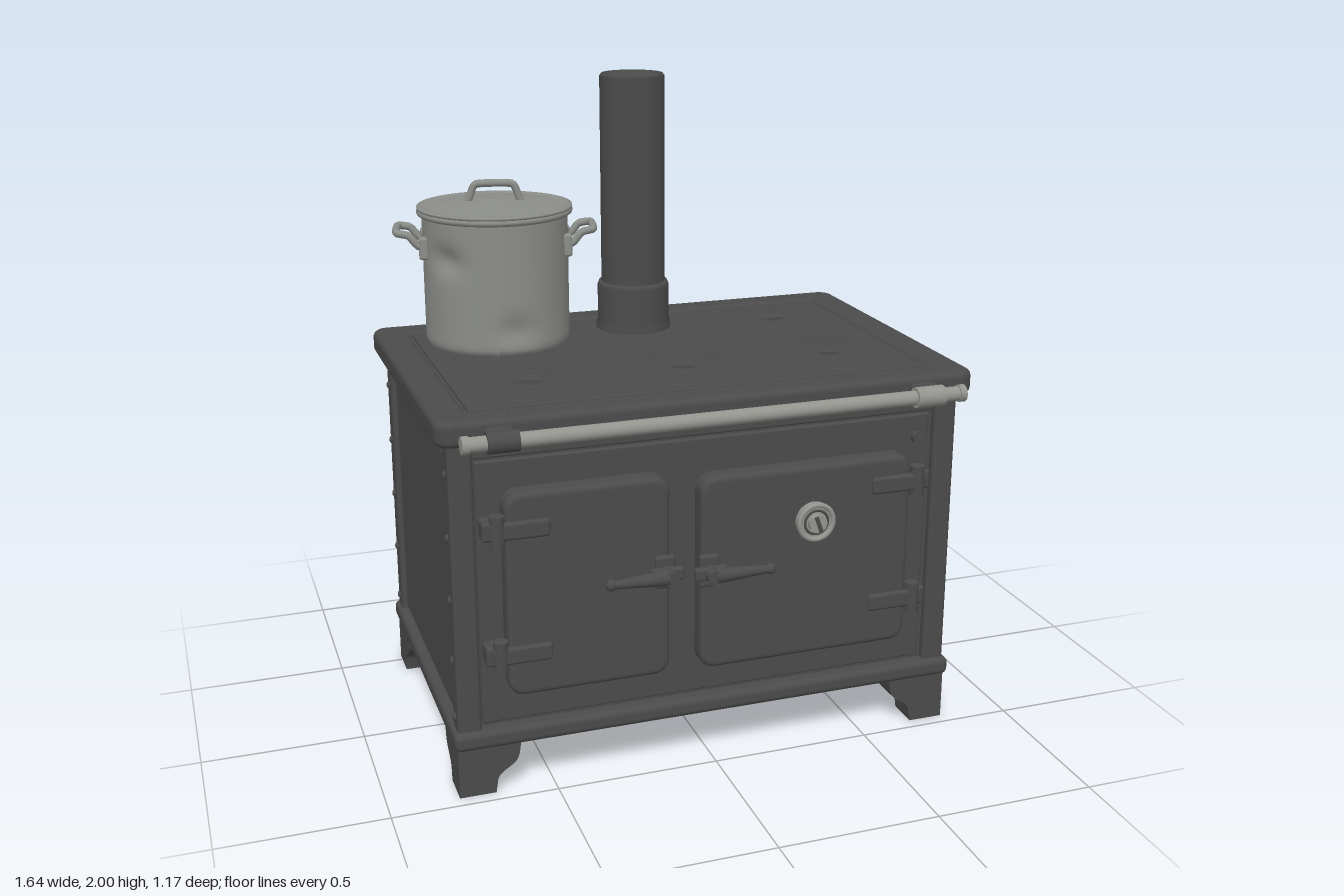
import * as THREE from 'three';
import { RoundedBoxGeometry } from 'three/addons/geometries/RoundedBoxGeometry.js';

const material = (name, color) => {
  const m = new THREE.MeshStandardMaterial({ color });
  m.name = name;
  return m;
};
const iron = material('cast iron', 0x4b4b4b);
const steel = material('pot steel', 0x8b8d89);
const rail = material('polished rail', 0x94948f);

const V = (x, y, z) => new THREE.Vector3(x, y, z);

function add(parent, name, geometry, mat, x = 0, y = 0, z = 0) {
  const m = new THREE.Mesh(geometry, mat);
  m.name = name;
  m.position.set(x, y, z);
  parent.add(m);
  return m;
}

// Box given by its limits, with rounded edges when r > 0
function box(parent, name, x0, x1, y0, y1, z0, z1, r = 0, mat = iron) {
  const s = [x1 - x0, y1 - y0, z1 - z0];
  const g = r ? new RoundedBoxGeometry(...s, 3, r) : new THREE.BoxGeometry(...s);
  return add(parent, name, g, mat, (x0 + x1) / 2, (y0 + y1) / 2, (z0 + z1) / 2);
}

function cylinder(parent, name, r, h, x, y, z, axis = 'y', mat = iron) {
  const m = add(parent, name, new THREE.CylinderGeometry(r, r, h, 32), mat, x, y, z);
  if (axis === 'x') m.rotation.z = Math.PI / 2;
  if (axis === 'z') m.rotation.x = Math.PI / 2;
  return m;
}

const lathe = (pts) => new THREE.LatheGeometry(pts.map((p) => new THREE.Vector2(...p)), 64);

function tube(parent, name, pts, r, mat) {
  const curve = new THREE.CatmullRomCurve3(pts, false, 'catmullrom', 0.25);
  return add(parent, name, new THREE.TubeGeometry(curve, 32, r, 10), mat);
}

function roundedRect(target, x0, x1, y0, y1, r) {
  const q = Math.PI / 2;
  target.absarc(x1 - r, y1 - r, r, 0, q);
  target.absarc(x0 + r, y1 - r, r, q, 2 * q);
  target.absarc(x0 + r, y0 + r, r, 2 * q, 3 * q);
  target.absarc(x1 - r, y0 + r, r, 3 * q, 4 * q);
  target.closePath();
  return target;
}

function addBody(g) {
  box(g, 'ovenBody', -0.765, 0.765, 0.17, 1.165, -0.505, 0.435);
  box(g, 'basePlinth', -0.8, 0.8, 0.155, 0.213, -0.545, 0.48, 0.02);
  // Slightly raised panels between the corner posts
  box(g, 'frontPanel', -0.71, 0.7, 0.225, 1.035, 0.42, 0.447, 0.006);
  box(g, 'frontTopStrip', -0.72, 0.71, 1.045, 1.11, 0.42, 0.452, 0.006);
  box(g, 'backPanel', -0.7, 0.7, 0.225, 1.035, -0.515, -0.49, 0.006);
  box(g, 'backTopStrip', -0.72, 0.72, 1.045, 1.11, -0.522, -0.49, 0.006);
  for (const s of [-1, 1]) {
    const panel = box(g, 'sidePanel', 0.75, 0.773, 0.225, 1.035, -0.44, 0.375, 0.006);
    panel.position.x *= s;
    const strip = box(g, 'sideTopStrip', 0.75, 0.78, 1.045, 1.11, -0.46, 0.39, 0.006);
    strip.position.x *= s;
    // Corner posts with rivets on both outer faces
    for (const front of [true, false]) {
      const z0 = front ? 0.385 : -0.53, z1 = z0 + 0.075;
      const post = box(g, 'cornerPost', 0.715, 0.787, 0.2, 1.11, z0, z1, 0.012);
      post.position.x *= s;
      for (const y of [0.25, 0.43, 0.62, 0.81, 1.0]) {
        const side = add(g, 'rivet', new THREE.SphereGeometry(0.013, 12, 8), iron, s * 0.787, y, z0 + 0.037);
        side.scale.x = 0.7;
        if (front) continue;
        const back = add(g, 'rivet', new THREE.SphereGeometry(0.013, 12, 8), iron, s * 0.752, y, z0);
        back.scale.z = 0.7;
      }
    }
  }
  cylinder(g, 'frontButton', 0.018, 0.03, 0.66, 0.965, 0.45, 'z');
}

// One corner foot: two curved brackets meeting at right angles
function addFoot(g, sx, sz) {
  const s = new THREE.Shape();
  s.moveTo(0, 0);
  s.lineTo(0.11, 0);
  s.lineTo(0.115, 0.035);
  s.bezierCurveTo(0.12, 0.08, 0.18, 0.07, 0.185, 0.125);
  s.lineTo(0.19, 0.16);
  s.lineTo(0, 0.16);
  const geo = new THREE.ExtrudeGeometry(s, { depth: 0.1, bevelEnabled: false, curveSegments: 12 });
  const foot = new THREE.Group();
  foot.name = 'foot';
  add(foot, 'footBracket', geo, iron);
  const b = add(foot, 'footBracket', geo, iron, 0.1, 0, 0);
  b.rotation.y = -Math.PI / 2;
  // Turned rather than mirrored, since the foot is symmetric about its diagonal
  foot.rotation.y = sx < 0 ? (sz < 0 ? 0 : Math.PI / 2) : (sz < 0 ? -Math.PI / 2 : Math.PI);
  foot.position.set(sx * 0.79, 0, sz < 0 ? -0.53 : 0.46);
  g.add(foot);
}

function addTop(g) {
  // Bevelled frame around the inset hob plate
  const frame = roundedRect(new THREE.Shape(), -0.803, 0.8, -0.49, 0.565, 0.03);
  frame.holes.push(roundedRect(new THREE.Path(), -0.735, 0.73, -0.42, 0.5, 0.025));
  const geo = new THREE.ExtrudeGeometry(frame, {
    depth: 0.035, bevelThickness: 0.02, bevelSize: 0.02, bevelSegments: 4, curveSegments: 8,
  });
  geo.rotateX(-Math.PI / 2);
  add(g, 'topFrame', geo, iron, 0, 1.12, 0);
  box(g, 'underTop', -0.78, 0.78, 1.1, 1.165, -0.55, 0.47);
  box(g, 'hobPlate', -0.71, 0.705, 1.14, 1.173, -0.475, 0.395, 0.005);
  // Cooking plates: stepped rings and a slotted lifting cap
  for (const [x, z] of [[-0.48, 0.185], [0, 0.185], [0.475, 0.185], [0.475, -0.265], [-0.47, -0.25]]) {
    const p = lathe([[0.19, 1.17], [0.187, 1.176], [0.14, 1.177], [0.136, 1.173], [0.132, 1.179],
      [0.085, 1.18], [0.081, 1.175], [0.077, 1.181], [0.037, 1.181], [0.034, 1.172], [0, 1.171]]);
    add(g, 'cookingPlate', p, iron, x, 0, z);
    const lift = box(g, 'plateLiftBar', x - 0.034, x + 0.034, 1.17, 1.18, z - 0.008, z + 0.008);
    lift.rotation.y = z < 0 ? 0.1 : -0.3;
  }
  for (const x of [-0.62, 0.62])
    for (const z of [-0.535, 0.465])
      add(g, 'topRivet', new THREE.SphereGeometry(0.011, 12, 8), iron, x, 1.171, z);
}

function addChimney(g) {
  add(g, 'chimneyCollar', lathe([[0.122, 1.165], [0.122, 1.19], [0.117, 1.2], [0.117, 1.315], [0.112, 1.328],
    [0.1, 1.33]]), iron, 0.01, 0, -0.345);
  add(g, 'chimneyPipe', lathe([[0.104, 1.17], [0.104, 1.992], [0.098, 2], [0.09, 1.998], [0.088, 1.985],
    [0, 1.985]]), iron, 0.01, 0, -0.345);
}

function addDoor(g, x0, x1, y0, y1, hingeSide) {
  const shape = roundedRect(new THREE.Shape(), x0 + 0.018, x1 - 0.018, y0 + 0.018, y1 - 0.018, 0.03);
  const geo = new THREE.ExtrudeGeometry(shape, {
    depth: 0.04, bevelThickness: 0.018, bevelSize: 0.018, bevelSegments: 4, curveSegments: 8,
  });
  add(g, 'ovenDoor', geo, iron, 0, 0, 0.447);
  // Strap hinges
  const hx = hingeSide < 0 ? x0 : x1;
  for (const y of [0.46, 0.843]) {
    const a = hx + hingeSide * 0.045, b = hx - hingeSide * 0.13;
    box(g, 'hingeStrap', Math.min(a, b), Math.max(a, b), y - 0.027, y + 0.027, 0.49, 0.516, 0.01);
    box(g, 'hingeMount', hx + hingeSide * 0.035 - 0.03, hx + hingeSide * 0.035 + 0.03, y - 0.03, y + 0.03, 0.44, 0.505, 0.01);
    cylinder(g, 'hingePin', 0.022, 0.095, hx + hingeSide * 0.022, y, 0.5);
  }
}

// Lever latch pointing along dir from its pivot
function addLatch(g, x, y, dir) {
  const latch = new THREE.Group();
  latch.name = 'doorLatch';
  box(latch, 'latchPlate', -0.03, 0.03, -0.05, 0.05, 0.5, 0.522, 0.008);
  cylinder(latch, 'latchPivot', 0.022, 0.07, 0, 0, 0.54, 'z');
  box(latch, 'latchHook', -0.05, 0.05, -0.02, 0.02, 0.52, 0.545, 0.008);
  const lever = add(latch, 'latchLever', new THREE.CylinderGeometry(0.012, 0.024, 0.17, 16), iron, dir * 0.09, 0, 0.557);
  lever.rotation.z = -dir * Math.PI / 2;
  add(latch, 'leverTip', new THREE.SphereGeometry(0.017, 16, 10), iron, dir * 0.178, 0, 0.557);
  latch.position.set(x, y, 0);
  g.add(latch);
}

function addFront(g) {
  addDoor(g, -0.64, -0.15, 0.325, 0.95, -1);
  addDoor(g, -0.055, 0.62, 0.32, 0.93, 1);
  addLatch(g, -0.17, 0.66, -1);
  addLatch(g, -0.035, 0.645, 1);
  // Temperature dial
  cylinder(g, 'dialFace', 0.058, 0.025, 0.3, 0.76, 0.515, 'z', rail);
  add(g, 'dialRing', new THREE.TorusGeometry(0.054, 0.008, 10, 40), rail, 0.3, 0.76, 0.528);
  add(g, 'dialGroove', new THREE.TorusGeometry(0.037, 0.004, 8, 40), iron, 0.3, 0.76, 0.528);
  cylinder(g, 'dialHub', 0.028, 0.02, 0.3, 0.76, 0.535, 'z', rail);
  box(g, 'dialNeedle', 0.294, 0.306, 0.735, 0.785, 0.54, 0.549, 0, iron).rotation.z = 0.35;
  // Towel rail on two brackets
  cylinder(g, 'towelRail', 0.022, 1.5, -0.005, 1.125, 0.552, 'x', rail);
  for (const x of [-0.755, 0.745]) cylinder(g, 'railEnd', 0.026, 0.02, x, 1.125, 0.552, 'x', rail);
  for (const [x, m] of [[-0.65, iron], [0.64, rail]]) {
    box(g, 'railArm', x - 0.042, x + 0.042, 1.105, 1.155, 0.48, 0.55, 0.012);
    cylinder(g, 'railSleeve', 0.031, 0.09, x, 1.125, 0.552, 'x', m);
  }
}

function addPot(g) {
  const pot = new THREE.Group();
  pot.name = 'cookingPot';
  const wall = [];
  for (let i = 0; i <= 24; i++) wall.push([0.226, 1.212 + i * 0.0163]);
  const body = lathe([[0, 1.188], [0.205, 1.188], [0.22, 1.196], ...wall]);
  // Worn dents pressed into the wall: angle, height, depth
  const p = body.attributes.position;
  for (let i = 0; i < p.count; i++) {
    const x = p.getX(i), y = p.getY(i), z = p.getZ(i);
    if (Math.hypot(x, z) < 0.2) continue;
    let k = 1;
    for (const [a, h, d] of [[0.25, 1.27, 0.06], [-0.75, 1.48, 0.1]])
      k -= d * Math.exp(-(((Math.atan2(x, z) - a) / 0.25) ** 2) - ((y - h) / 0.04) ** 2);
    p.setXYZ(i, x * k, y, z * k);
  }
  body.computeVertexNormals();
  add(pot, 'potBody', body, steel);
  add(pot, 'potRim', new THREE.TorusGeometry(0.231, 0.011, 10, 64), steel, 0, 1.608, 0).rotation.x = Math.PI / 2;
  add(pot, 'potLid', lathe([[0.225, 1.61], [0.24, 1.616], [0.24, 1.624], [0.225, 1.627], [0.212, 1.62], [0.2, 1.624],
    [0.1, 1.636], [0, 1.64]]), steel);
  tube(pot, 'lidHandle', [V(-0.085, 1.625, 0), V(-0.075, 1.65, 0), V(-0.055, 1.688, 0), V(0.055, 1.688, 0),
    V(0.075, 1.65, 0), V(0.085, 1.625, 0)], 0.012, steel);
  // Loop handles on both sides
  for (const s of [1, -1]) {
    tube(pot, 'sideHandle', [V(s * 0.21, 1.5, -0.07), V(s * 0.24, 1.515, -0.072), V(s * 0.265, 1.545, -0.072),
      V(s * 0.302, 1.552, -0.06), V(s * 0.302, 1.552, 0.06), V(s * 0.265, 1.545, 0.072),
      V(s * 0.24, 1.515, 0.072), V(s * 0.21, 1.5, 0.07)], 0.012, steel);
    for (const z of [-0.07, 0.07]) box(pot, 'handleMount', s * 0.22 - 0.015, s * 0.22 + 0.015, 1.47, 1.54, z - 0.015, z + 0.015, 0.008, steel);
  }
  pot.rotation.y = -0.21;
  pot.position.set(-0.47, 0, -0.25);
  g.add(pot);
}

export function createModel() {
  const g = new THREE.Group();
  g.name = 'kitchenStove';
  addBody(g);
  for (const sx of [-1, 1]) for (const sz of [-1, 1]) addFoot(g, sx, sz);
  addTop(g);
  addChimney(g);
  addFront(g);
  addPot(g);
  return g;
}
